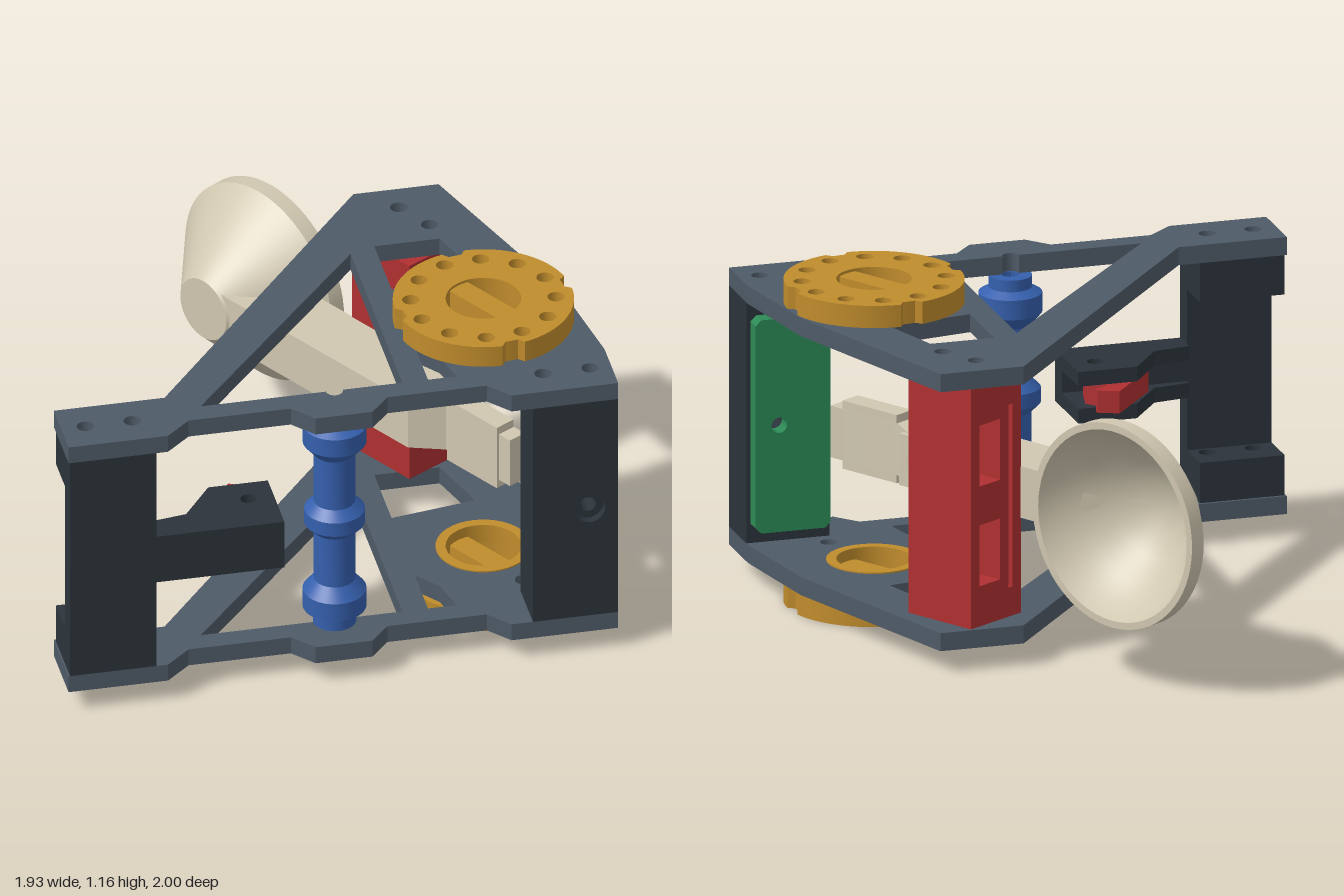
import * as THREE from 'three';
import { toCreasedNormals } from 'three/addons/utils/BufferGeometryUtils.js';

const mat = (name, color) => {
  const m = new THREE.MeshStandardMaterial({ color });
  m.name = name;
  return m;
};
const MID = 0.58; // height of the mirror plane between the two side frames

export function createModel() {
  const slate = mat('slate', 0x4e5a67), charcoal = mat('charcoal', 0x2b333a);
  const red = mat('red', 0xb03032), gold = mat('gold', 0xc08c2c);
  const blue = mat('blue', 0x3560ae), green = mat('green', 0x2c8a56);
  const cream = mat('cream', 0xd0c7b0);
  const root = new THREE.Group();

  const add = (parent, name, geo, material) => {
    const m = new THREE.Mesh(toCreasedNormals(geo, 0.6), material);
    m.name = name;
    parent.add(m);
    return m;
  };
  const path = (pts) => pts.map(([a, b]) => new THREE.Vector2(a, b));
  const circle = (x, y, r, n = 24) => Array.from({ length: n }, (_, i) => {
    const a = (i / n) * Math.PI * 2;
    return [x + r * Math.cos(a), y + r * Math.sin(a)];
  });
  const rect = (x0, y0, x1, y1) => [[x0, y0], [x1, y0], [x1, y1], [x0, y1]];
  const extrude = (pts, holes, depth) => {
    const s = new THREE.Shape(path(pts));
    s.holes = holes.map((h) => new THREE.Path(path(h)));
    return new THREE.ExtrudeGeometry(s, { depth, bevelEnabled: false });
  };
  // (x, z) outline between two heights
  const plan = (pts, holes, y0, y1) => extrude(pts, holes, y1 - y0).rotateX(Math.PI / 2).translate(0, y1, 0);
  // (x, y) outline between two z values
  const front = (pts, holes, z0, z1) => extrude(pts, holes, z1 - z0).translate(0, 0, z0);
  // (z, y) outline between two x values
  const side = (pts, holes, x0, x1) => {
    const flip = (p) => p.map(([z, y]) => [-z, y]);
    return extrude(flip(pts), holes.map(flip), x1 - x0).rotateY(Math.PI / 2).translate(x0, 0, 0);
  };
  const box = (x0, x1, y0, y1, z0, z1) => new THREE.BoxGeometry(x1 - x0, y1 - y0, z1 - z0)
    .translate((x0 + x1) / 2, (y0 + y1) / 2, (z0 + z1) / 2);

  // Side frames
  const WX = 0.6, WZ = 0.495, TILT = 0.541;
  const outline = [[-0.97, 0.76], [-0.58, 0.76], [0.33, -0.37], [0.63, -0.37], [0.9, 0.38], [0.965, 0.78],
    [0.965, 1], [0.59, 1], [0.52, 0.92], [0.17, 0.92], [0.1, 1], [-0.1, 1], [-0.17, 0.92], [-0.53, 0.92],
    [-0.62, 1], [-0.97, 1]];
  const axleNotch = Array.from({ length: 9 }, (_, i) => {
    const a = Math.PI - (i / 8) * Math.PI;
    return [0.03 * Math.cos(a), 0.84 + 0.03 * Math.sin(a)];
  });
  const boltHoles = [[-0.885, 0.88], [-0.72, 0.88], [0.725, 0.885], [0.89, 0.885], [0.465, -0.255],
    [0.545, -0.125], [0.69, 0.73]].map(([x, z]) => circle(x, z, 0.03, 16));
  const frameHoles = [
    [[-0.47, 0.84], ...axleNotch, [0.24, 0.84], [0.24, 0]],
    [[0.33, -0.03], [0.56, -0.03], [0.635, 0.2], [0.33, 0.25]],
    [[0.33, 0.62], [0.4, 0.71], [0.43, 0.84], [0.33, 0.84]],
    circle(WX, WZ, 0.165, 40), ...boltHoles];

  // Winding wheels: notched rim, ring of holes, cross bar and hub through the frame
  const deg = Math.PI / 180;
  const rim = [];
  for (let a = 0; a < 360; a += 3) {
    const inNotch = ((a + 8 + 6) % 90) < 12;
    const r = inNotch ? 0.288 : 0.312;
    rim.push([WX + r * Math.cos(a * deg), WZ + r * Math.sin(a * deg)]);
  }
  const wheelHoles = [circle(WX, WZ, 0.13, 40)];
  for (let i = 0; i < 12; i++) {
    const a = (i * 30 - 80) * deg;
    wheelHoles.push(circle(WX + 0.25 * Math.cos(a), WZ + 0.25 * Math.sin(a), 0.03, 16));
  }

  for (const s of [1, -1]) {
    // span of heights, measured outward from the mirror plane
    const span = (a, b) => (s > 0 ? [MID + a, MID + b] : [MID - b, MID - a]);
    const label = s > 0 ? 'upper' : 'lower';
    add(root, label + 'Frame', plan(outline, frameHoles, ...span(0.435, 0.5)), slate);
    add(root, label + 'Wheel', plan(rim, wheelHoles, ...span(0.5, 0.58)), gold);
    add(root, label + 'WheelHub',
      plan(circle(WX, WZ, 0.165, 40), [circle(WX, WZ, 0.13, 40)], ...span(0.43, 0.5)), gold);
    const [b0, b1] = span(0.47, 0.57);
    const bar = add(root, label + 'WheelBar', box(-0.042, 0.042, b0, b1, -0.132, 0.132), gold);
    bar.position.set(WX, 0, WZ);
    bar.rotation.y = TILT;
    // Ledges of the rear post
    add(root, label + 'PostLedge',
      plan(rect(-0.965, 0.77, -0.66, 0.93), boltHoles.slice(0, 2), ...span(0.29, 0.435)), charcoal);
    // Prongs holding the trigger
    add(root, label + 'TriggerProng', plan(
      [[-0.66, 0.9], [-0.53, 0.88], [-0.42, 0.73], [-0.21, 0.73], [-0.21, 0.93], [-0.66, 0.93]],
      [circle(-0.3, 0.83, 0.028, 16)], ...span(0.04, 0.093)), charcoal);
  }

  // Left post and its trigger bracket
  add(root, 'leftPost', box(-0.965, -0.66, 0.145, 1.015, 0.92, 1), charcoal);
  add(root, 'triggerBracket', box(-0.66, -0.21, 0.487, 0.673, 0.92, 1), charcoal);
  add(root, 'trigger', plan([[-0.5, 0.85], [-0.33, 0.64], [-0.26, 0.67], [-0.26, 0.69], [-0.31, 0.71],
    [-0.25, 0.78], [-0.27, 0.87], [-0.46, 0.88]], [circle(-0.3, 0.83, 0.028, 16)], 0.54, 0.62), red);

  // Right post with a countersunk hole, and its backing pad
  const postRect = rect(0.665, 0.145, 0.965, 1.015);
  add(root, 'rightPostFace', front(postRect, [circle(0.865, MID, 0.055)], 0.97, 1), charcoal);
  add(root, 'rightPost', front(postRect, [circle(0.865, MID, 0.028)], 0.8, 0.97), charcoal);
  add(root, 'backingPad', front(
    [[0.7, 0.195], [0.93, 0.195], [0.95, 0.215], [0.95, 0.945], [0.93, 0.965], [0.7, 0.965], [0.68, 0.945],
      [0.68, 0.215]], [circle(0.865, MID, 0.028)], 0.74, 0.8), green);

  // Roller
  const half = [[0.105, 0], [0.105, 0.027], [0.072, 0.06], [0.072, 0.255], [0.11, 0.3], [0.11, 0.37],
    [0.075, 0.39], [0.075, 0.432], [0.03, 0.432]];
  const rollerProfile = [...half.slice(1).reverse().map(([r, y]) => [r, -y]), ...half.slice(1),
    [0.03, -0.432]];
  const roller = add(root, 'roller', new THREE.LatheGeometry(path(rollerProfile), 40), blue);
  roller.position.set(0, MID, 0.845);

  // Tilted assembly: local z runs along the arm, local x faces out of the bowl
  const tilted = new THREE.Group();
  tilted.name = 'throwingArm';
  tilted.position.set(WX, 0, WZ);
  tilted.rotation.y = TILT;
  root.add(tilted);

  add(tilted, 'arm', plan([[-0.122, -1.19], [0.09, -0.975], [0.09, -0.24], [0.035, -0.14], [0.035, 0.17],
    [-0.035, 0.17], [-0.035, -0.15], [-0.122, -0.25]], [], 0.487, 0.673), cream);
  add(tilted, 'armFace', side(rect(-0.955, 0.487, -0.215, 0.673),
    [0.507, 0.6].map((y) => rect(-0.48, y, -0.24, y + 0.045)), 0.09, 0.112), cream);
  add(tilted, 'armPaddle', box(-0.045, 0.034, 0.457, 0.703, -0.135, 0.115), cream);

  // Bowl
  const bowlProfile = [[0, -0.13], [0.115, -0.13], [0.367, 0.13], [0.367, 0.19], [0.342, 0.19],
    [0.312, 0.125], [0.255, 0.05], [0.17, -0.03], [0.09, -0.075], [0, -0.09]];
  const bowl = add(tilted, 'bowl',
    new THREE.LatheGeometry(path(bowlProfile), 64).rotateZ(-Math.PI / 2), cream);
  bowl.position.set(0, MID, -1.268);

  // Stop beam the arm strikes
  const stop = new THREE.Group();
  stop.name = 'stopBeam';
  stop.position.set(0.48, 0, -0.17);
  stop.rotation.y = TILT;
  root.add(stop);
  const windows = [rect(-0.02, 0.29, 0.085, 0.51), rect(-0.02, 0.65, 0.085, 0.87),
    rect(-0.085, 0.25, -0.065, 0.91)];
  add(stop, 'stopBody', front(rect(-0.13, 0.145, 0.1, 1.015), windows, -0.144, 0.144), red);
  const pockets = [];
  for (const y of [0.21, 0.9]) for (const z of [-0.11, 0.02]) pockets.push(rect(z, y, z + 0.09, y + 0.05));
  add(stop, 'stopFace', side(rect(-0.144, 0.145, 0.144, 1.015), pockets, 0.1, 0.13), red);

  return root;
}
